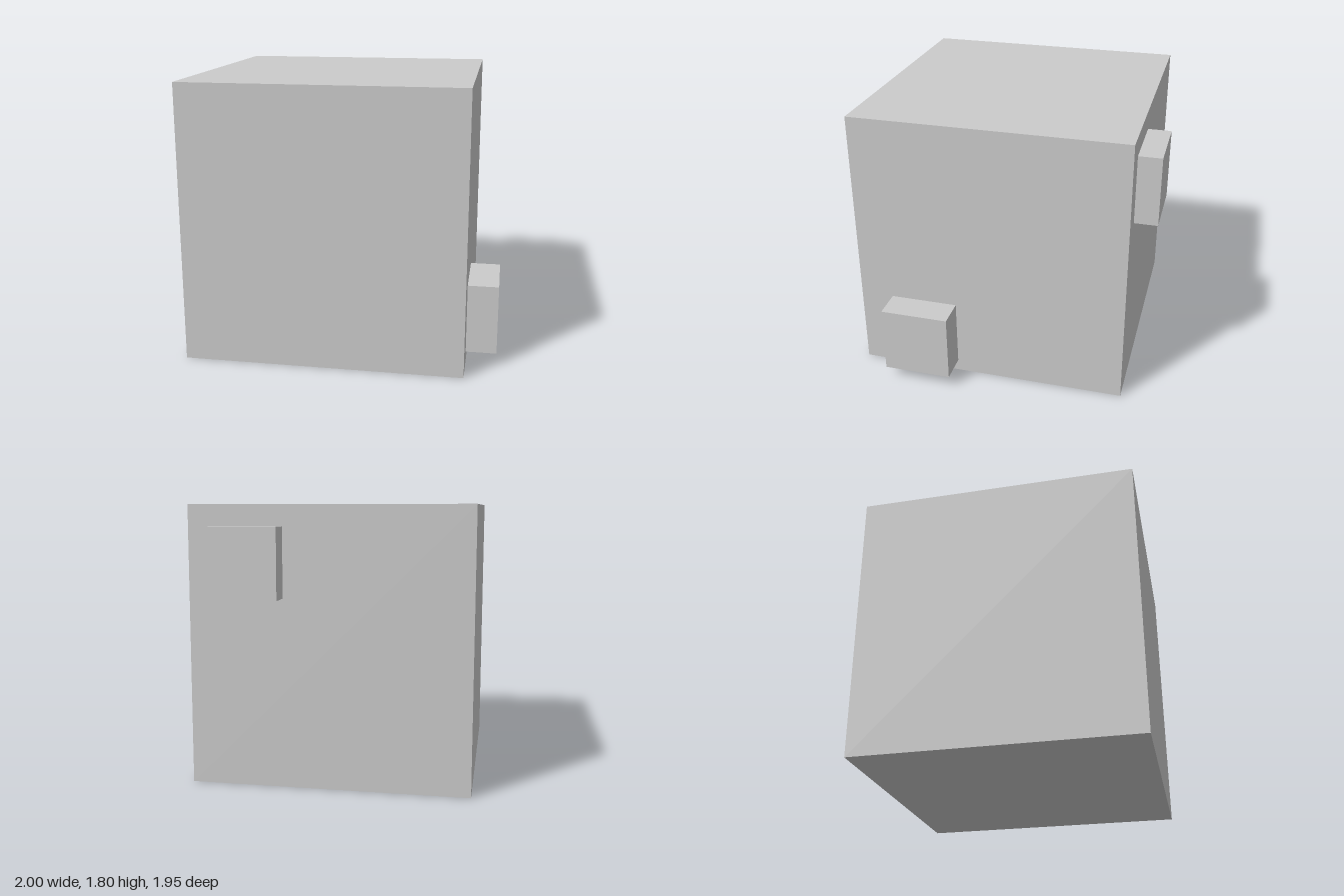
import * as THREE from 'three';

// Adds a named box spanning the given min and max corners
function addBox(group, name, min, max, material) {
  const size = max.map((v, i) => v - min[i]);
  const mesh = new THREE.Mesh(new THREE.BoxGeometry(...size), material);
  mesh.position.set(...max.map((v, i) => (v + min[i]) / 2));
  mesh.name = name;
  group.add(mesh);
}

export function createModel() {
  const group = new THREE.Group();
  group.name = 'cubeWithBlocks';
  const material = new THREE.MeshStandardMaterial({ color: 0xcccccc, flatShading: true });

  // Large cube
  addBox(group, 'body', [-1, 0, -0.827], [0.804, 1.804, 0.977], material);
  // Block low on the +x side, near the front
  addBox(group, 'sideBlock', [0.804, 0.079, 0.305], [1, 0.529, 0.755], material);
  // Block high on the back
  addBox(group, 'backBlock', [0.192, 1.218, -0.977], [0.642, 1.668, -0.827], material);

  return group;
}
